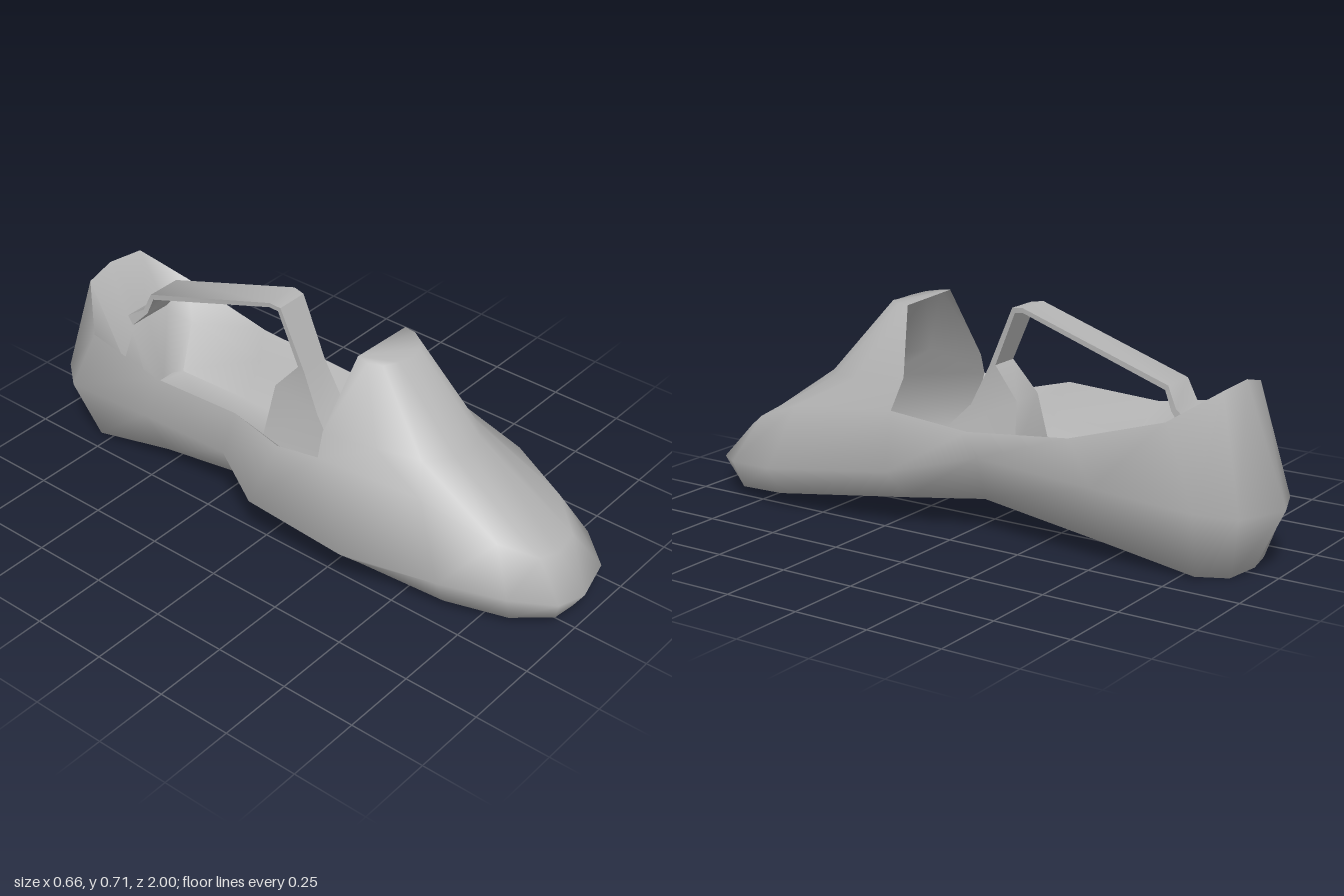
import * as THREE from 'three';
import { toCreasedNormals } from 'three/addons/utils/BufferGeometryUtils.js';

// Rails run round the shoe: toe, +x side, heel, -x side. Points are [x, y, z].
const soleRail = [
  [0.06, 0.02, 0.95], [0.16, 0.02, 0.93], [0.25, 0.03, 0.83], [0.29, 0.05, 0.64], [0.2, 0.09, 0.2],
  [0.13, 0.11, -0.05], [0.16, 0.06, -0.5], [0.15, 0.01, -0.8], [0.08, 0, -0.88], [-0.02, 0.01, -0.91],
  [-0.12, 0.01, -0.89], [-0.2, 0.015, -0.78], [-0.17, 0.06, -0.5], [-0.15, 0.1, -0.15], [-0.18, 0.11, 0],
  [-0.24, 0.07, 0.36], [-0.19, 0.04, 0.65], [-0.12, 0.03, 0.84], [-0.02, 0.02, 0.94],
];
const wideRail = [
  [0.04, 0.1, 1], [0.19, 0.1, 0.96], [0.28, 0.12, 0.85], [0.33, 0.14, 0.66], [0.31, 0.2, 0.2],
  [0.25, 0.28, -0.1], [0.24, 0.25, -0.5], [0.21, 0.22, -0.82], [0.13, 0.2, -0.93], [-0.03, 0.2, -1],
  [-0.16, 0.2, -0.95], [-0.29, 0.25, -0.8], [-0.27, 0.25, -0.5], [-0.28, 0.27, -0.15], [-0.33, 0.18, 0],
  [-0.33, 0.155, 0.36], [-0.23, 0.13, 0.65], [-0.15, 0.12, 0.85], [-0.05, 0.1, 0.97],
];
const rimRail = [
  [0.04, 0.21, 0.9], [0.14, 0.21, 0.88], [0.21, 0.27, 0.78], [0.25, 0.34, 0.6], [0.265, 0.385, 0.21],
  [0.23, 0.35, -0.05], [0.21, 0.38, -0.4], [0.18, 0.47, -0.71], [0.1, 0.565, -0.85], [-0.03, 0.575, -0.86],
  [-0.13, 0.55, -0.855], [-0.245, 0.45, -0.73], [-0.25, 0.4, -0.45], [-0.25, 0.415, -0.12], [-0.25, 0.37, 0.05],
  [-0.25, 0.4, 0.21], [-0.18, 0.36, 0.55], [-0.11, 0.27, 0.78], [-0.03, 0.22, 0.88],
];
// Front cover only, from the -x side round the toe to the +x side.
const instepRail = [
  [-0.215, 0.47, 0.2], [-0.18, 0.47, 0.38], [-0.12, 0.45, 0.5], [-0.03, 0.44, 0.56], [0.03, 0.435, 0.57],
  [0.1, 0.435, 0.56], [0.16, 0.44, 0.5], [0.2, 0.45, 0.4], [0.21, 0.48, 0.2],
];
const crestRail = [
  [-0.1, 0.7, 0.24], [-0.105, 0.695, 0.28], [-0.08, 0.69, 0.32], [-0.03, 0.685, 0.34], [0.03, 0.68, 0.35],
  [0.07, 0.685, 0.34], [0.1, 0.69, 0.32], [0.125, 0.69, 0.28], [0.13, 0.69, 0.24],
];

// Adds a strip of faces between two rails.
function loft(out, a, b, closed = false) {
  const n = a.length;
  for (let i = 0; i < (closed ? n : n - 1); i++) {
    const j = (i + 1) % n;
    out.push(...a[i], ...a[j], ...b[j], ...a[i], ...b[j], ...b[i]);
  }
}

// Adds a fan that closes a rail.
function fan(out, rail) {
  for (let i = 1; i < rail.length - 1; i++) out.push(...rail[0], ...rail[i], ...rail[i + 1]);
}

function part(name, triangles, material, crease) {
  const g = new THREE.BufferGeometry();
  g.setAttribute('position', new THREE.Float32BufferAttribute(triangles, 3));
  const mesh = new THREE.Mesh(toCreasedNormals(g, crease), material);
  mesh.name = name;
  return mesh;
}

export function createModel() {
  const grey = new THREE.MeshStandardMaterial({ color: 0xb4b4b4, side: THREE.DoubleSide });
  grey.name = 'grey';
  const group = new THREE.Group();
  group.name = 'shoe';

  // Side walls and raised front cover, blending into the underside
  const upper = [];
  loft(upper, soleRail, wideRail, true);
  loft(upper, wideRail, rimRail, true);
  const frontRim = [...rimRail.slice(15), ...rimRail.slice(0, 5)];
  loft(upper, frontRim, instepRail);
  loft(upper, instepRail, crestRail);
  fan(upper, crestRail);
  loft(upper, soleRail.slice(9).reverse(), soleRail.slice(0, 10));
  group.add(part('upper', upper, grey, 1.7));

  // Inside of the opening: walls slope from the rim to a narrow footbed
  const lining = [];
  const openRim = rimRail.slice(4, 16);
  const wall = openRim.map(([x, y, z]) => [x * 0.72, y * 0.55 + 0.09, Math.max(z * 0.92, -0.71)]);
  const bed = openRim.map(([x, , z]) => [x * 0.35, 0.19, Math.max(z * 0.9, -0.66)]);
  loft(lining, openRim, wall);
  loft(lining, wall, bed);
  loft(lining, bed.slice(0, 6), bed.slice(6).reverse());
  group.add(part('lining', lining, grey, 1.2));

  // Strap arching over the opening: outer z, y, inner z, y, half width
  const strapSections = [
    [0.18, 0.25, -0.14, 0.24, 0.1],
    [0.05, 0.385, -0.12, 0.42, 0.06],
    [-0.01, 0.51, -0.035, 0.52, 0.05],
    [-0.1, 0.71, -0.11, 0.695, 0.055],
    [-0.14, 0.715, -0.14, 0.7, 0.06],
    [-0.65, 0.545, -0.64, 0.53, 0.06],
    [-0.68, 0.48, -0.665, 0.47, 0.065],
    [-0.74, 0.44, -0.72, 0.41, 0.08],
  ];
  const rings = strapSections.map(([zo, yo, zi, yi, w]) => [[-w, yo, zo], [w, yo, zo], [w, yi, zi], [-w, yi, zi]]);
  const strap = [];
  for (let i = 0; i < rings.length - 1; i++) loft(strap, rings[i], rings[i + 1], true);
  group.add(part('strap', strap, grey, 0.9));

  return group;
}
